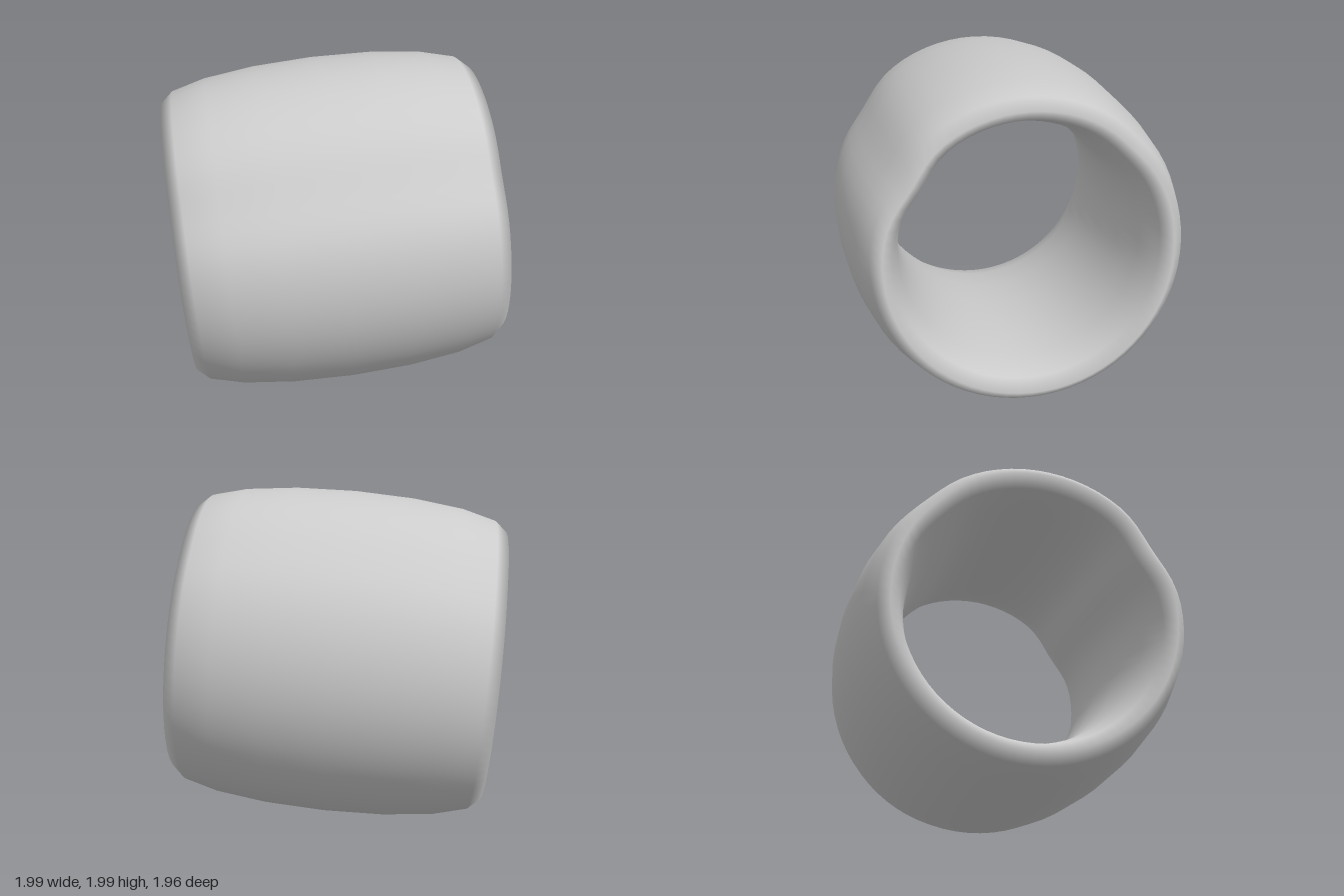
import * as THREE from 'three';
import { mergeVertices } from 'three/addons/utils/BufferGeometryUtils.js';

const RING = 0.818, WALL = 0.163, HALF_LENGTH = 0.927, TILT = 0.0885;

// Soft dent in the wall, centred on an angle measured up from +z
function dent(angle, centre, width, depth) {
  const t = (angle - THREE.MathUtils.degToRad(centre)) / THREE.MathUtils.degToRad(width);
  return depth * Math.exp(-t * t);
}

export function createModel() {
  const group = new THREE.Group();
  group.name = 'ringBead';

  // Torus stretched along its axis into a barrel-shaped ring, axis on x
  let geo = new THREE.TorusGeometry(RING, WALL, 16, 72);
  geo.scale(1, 1, HALF_LENGTH / WALL);
  geo.rotateY(Math.PI / 2);
  geo.deleteAttribute('uv');
  geo.deleteAttribute('normal');
  geo = mergeVertices(geo, 1e-4);

  // Slightly flattened upper sides, inside and out
  const pos = geo.attributes.position;
  for (let i = 0; i < pos.count; i++) {
    const y = pos.getY(i), z = pos.getZ(i);
    const angle = Math.atan2(y, z);
    const r = Math.hypot(y, z);
    const k = (r - dent(angle, 34, 13, 0.037) - dent(angle, 136, 12, 0.012)) / r;
    pos.setY(i, y * k);
    pos.setZ(i, z * k);
  }
  geo.computeVertexNormals();

  // Tilted so that its +x end sits higher
  const ring = new THREE.Mesh(geo, new THREE.MeshStandardMaterial({ color: 0xcccccc }));
  ring.name = 'ringBody';
  ring.rotation.z = TILT;
  ring.position.y = 1;
  group.add(ring);
  return group;
}
